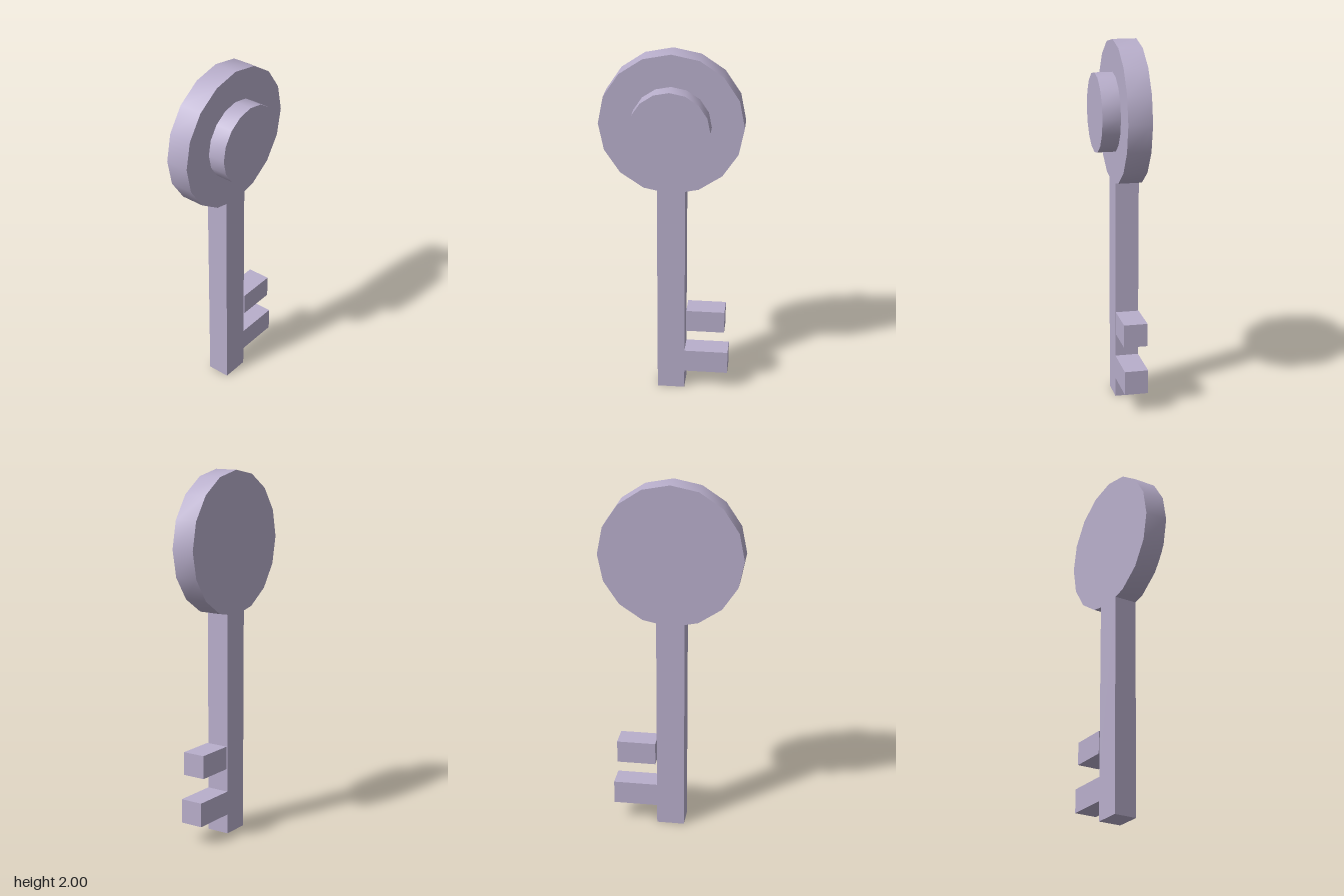
import * as THREE from 'three';
import { toCreasedNormals } from 'three/addons/utils/BufferGeometryUtils.js';

const BACK = -0.114, FACE = 0.015, FRONT = 0.113;
const CENTRE_Y = 1.61, SIDES = 16;

// Points on a regular 16-sided ring around the bow centre, from step a to step b
function ring(radius, a, b) {
  const points = [];
  for (let i = a; i <= b; i++) {
    const t = (i / SIDES) * Math.PI * 2;
    points.push(new THREE.Vector2(radius * Math.cos(t), CENTRE_Y + radius * Math.sin(t)));
  }
  return points;
}

// Straight extrusion between two depths, smooth around the rims and sharp elsewhere
function slab(name, points, z0, z1, material) {
  const geometry = new THREE.ExtrudeGeometry(new THREE.Shape(points), { depth: z1 - z0, bevelEnabled: false });
  geometry.translate(0, 0, z0);
  const mesh = new THREE.Mesh(toCreasedNormals(geometry, 0.5), material);
  mesh.name = name;
  return mesh;
}

export function createModel() {
  const group = new THREE.Group();
  group.name = 'key';
  const metal = new THREE.MeshStandardMaterial({ color: 0xb8aecb });
  metal.name = 'pale lilac metal';

  // Round bow, shaft and lower tooth share one outline
  const p = (x, y) => new THREE.Vector2(x, y);
  const half = 0.077, neckY = 1.235;
  const outline = [
    p(-half, 0), p(half, 0),
    p(half, 0.11), p(0.324, 0.11), p(0.324, 0.243), p(half, 0.243),
    p(half, neckY), ...ring(0.39, -3, 11), p(-half, neckY),
  ];
  group.add(slab('bowShaftAndLowerTooth', outline, BACK, FACE, metal));

  // Raised round boss on the front of the bow
  group.add(slab('boss', ring(0.216, 0, SIDES - 1), FACE, FRONT, metal));

  // Upper tooth, standing just clear of the shaft
  const tooth = [p(0.086, 0.375), p(0.302, 0.375), p(0.302, 0.503), p(0.086, 0.503)];
  group.add(slab('upperTooth', tooth, BACK, FACE, metal));

  return group;
}
